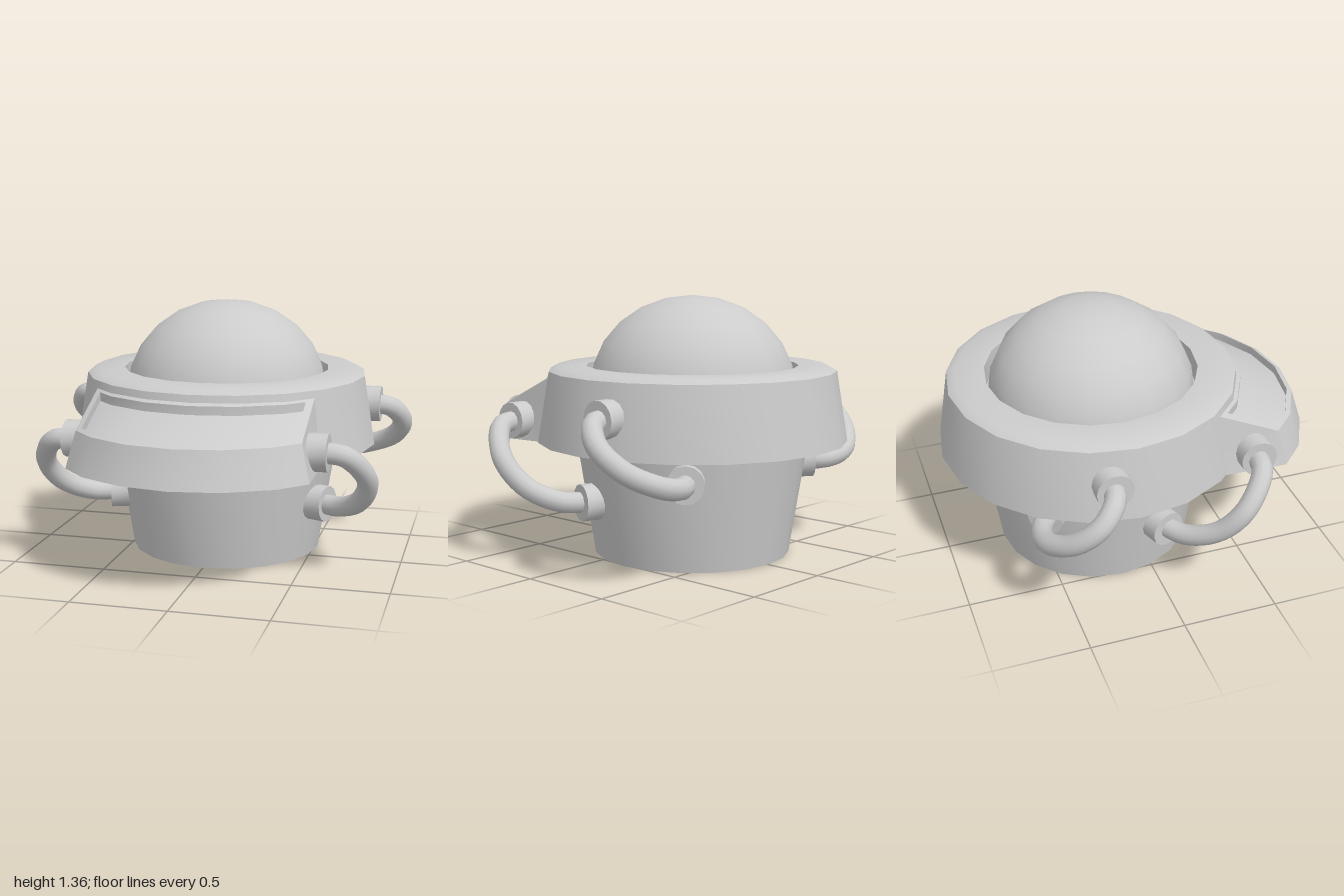
import * as THREE from 'three';
import { toCreasedNormals } from 'three/addons/utils/BufferGeometryUtils.js';

const SIDES = 20;
const BODY_Z = -0.17; // axis of the round body
const material = new THREE.MeshStandardMaterial({ color: 0xcccccc, side: THREE.DoubleSide });

function addMesh(parent, name, geometry) {
  const mesh = new THREE.Mesh(geometry, material);
  mesh.name = name;
  parent.add(mesh);
  return mesh;
}

// Turned part with crisp edges, profile given as [radius, y]
function turned(profile, sides) {
  const points = profile.map(([r, y]) => new THREE.Vector2(r, y));
  return toCreasedNormals(new THREE.LatheGeometry(points, sides), Math.PI / 4);
}

// Front edge of the 20-sided outline of the brim at a given x
function outlineZ(x) {
  const r = 0.82, step = (Math.PI * 2) / SIDES, ax = Math.abs(x);
  let k = 0;
  while (r * Math.sin((k + 1) * step) < ax) k++;
  const x0 = r * Math.sin(k * step), x1 = r * Math.sin((k + 1) * step);
  const z0 = r * Math.cos(k * step), z1 = r * Math.cos((k + 1) * step);
  return z0 + ((z1 - z0) * (ax - x0)) / (x1 - x0);
}

// Cross-section of the visor at x; depth sinks the panel inside its rim
function visorSection(x, depth) {
  const s = 0.927, arc = outlineZ(x), shift = 0.17;
  const rim = (t, drop) => [x * s, 0.775 + 0.16 * t - drop, shift + s * arc - 0.34 * t];
  return [
    [x, 0.598, BODY_Z + 0.9 * arc],
    [x, 0.585, shift + arc],
    rim(0, 0),
    rim(0.09, 0),
    rim(0.09, depth),
    rim(0.91, depth),
    rim(0.91, 0),
    rim(1.02, 0),
  ];
}

function visorGeometry() {
  const half = [0, 1, 2].map((k) => [0.82 * Math.sin((k * Math.PI * 2) / SIDES), 0.045]);
  half.push([0.583, 0.045], [0.583, 0], [0.62, 0]);
  const mirrored = half.slice(1).reverse().map(([x, d]) => [-x, d]);
  const sections = [...mirrored, ...half].map(([x, d]) => visorSection(x, d));
  const out = [];
  const tri = (a, b, c) => out.push(...a, ...b, ...c);
  for (let i = 0; i < sections.length - 1; i++) {
    const p = sections[i], q = sections[i + 1];
    for (let j = 0; j < p.length - 1; j++) {
      tri(p[j], q[j], q[j + 1]);
      tri(p[j], q[j + 1], p[j + 1]);
    }
  }
  // End walls
  const first = sections[0], last = sections[sections.length - 1];
  for (let j = 1; j < first.length - 1; j++) {
    tri(first[0], first[j], first[j + 1]);
    tri(last[0], last[j + 1], last[j]);
  }
  const geometry = new THREE.BufferGeometry();
  geometry.setAttribute('position', new THREE.Float32BufferAttribute(out, 3));
  return toCreasedNormals(geometry, Math.PI / 9);
}

// Short collar centred at a point, facing along an axis
function addCollar(parent, name, position, axis, radius = 0.096) {
  const profile = [[radius, -0.055], [radius, 0.05], [0.045, 0.05]];
  const collar = addMesh(parent, name, turned(profile, 14));
  collar.position.set(...position);
  collar.quaternion.setFromUnitVectors(new THREE.Vector3(0, 1, 0), new THREE.Vector3(...axis).normalize());
}

function addHose(parent, name, side, points) {
  const path = new THREE.CatmullRomCurve3(points.map(([x, y, z]) => new THREE.Vector3(x * side, y, z)));
  addMesh(parent, name, new THREE.TubeGeometry(path, 24, 0.054, 12));
}

export function createModel() {
  const model = new THREE.Group();
  model.name = 'domedBucket';

  // Round body: tapered open base, overhanging brim and dome
  const body = new THREE.Group();
  body.name = 'roundBody';
  body.position.z = BODY_Z;
  model.add(body);
  addMesh(body, 'base', turned([[0.52, 0], [0.615, 0.6]], SIDES));
  addMesh(body, 'brim', turned([
    [0.61, 0.6], [0.82, 0.6], [0.76, 0.97], [0.715, 0.995], [0.56, 0.995], [0.56, 0.87],
  ], SIDES));
  const dome = addMesh(body, 'dome', new THREE.SphereGeometry(1, 20, 6, 0, Math.PI * 2, 0, Math.PI / 2));
  dome.scale.set(0.545, 0.49, 0.545);
  dome.position.y = 0.87;

  // Visor with a sunken sloping panel
  addMesh(model, 'visor', visorGeometry());

  // Two hoses on each side
  for (const side of [1, -1]) {
    const label = side > 0 ? 'left' : 'right';
    const hoses = new THREE.Group();
    hoses.name = label + 'Hoses';
    model.add(hoses);

    addCollar(hoses, label + 'FrontUpperCollar', [side * 0.63, 0.7, 0.51], [side, 0, 0]);
    addCollar(hoses, label + 'FrontLowerCollar', [side * 0.56, 0.31, 0.035], [side * 0.94, 0, 0.34]);
    addHose(hoses, label + 'FrontHose', side, [
      [0.64, 0.7, 0.51], [0.76, 0.68, 0.49], [0.855, 0.54, 0.37],
      [0.81, 0.4, 0.25], [0.69, 0.32, 0.12], [0.55, 0.31, 0.03],
    ]);

    addCollar(hoses, label + 'BackUpperCollar', [side * 0.785, 0.795, -0.31], [side, 0, 0]);
    addCollar(hoses, label + 'BackLowerCollar', [side * 0.475, 0.47, -0.55], [side * 0.78, 0, -0.63]);
    addHose(hoses, label + 'BackHose', side, [
      [0.79, 0.795, -0.31], [0.885, 0.78, -0.33], [0.943, 0.69, -0.42],
      [0.89, 0.58, -0.54], [0.74, 0.5, -0.63], [0.59, 0.47, -0.62], [0.46, 0.47, -0.54],
    ]);
  }
  return model;
}
